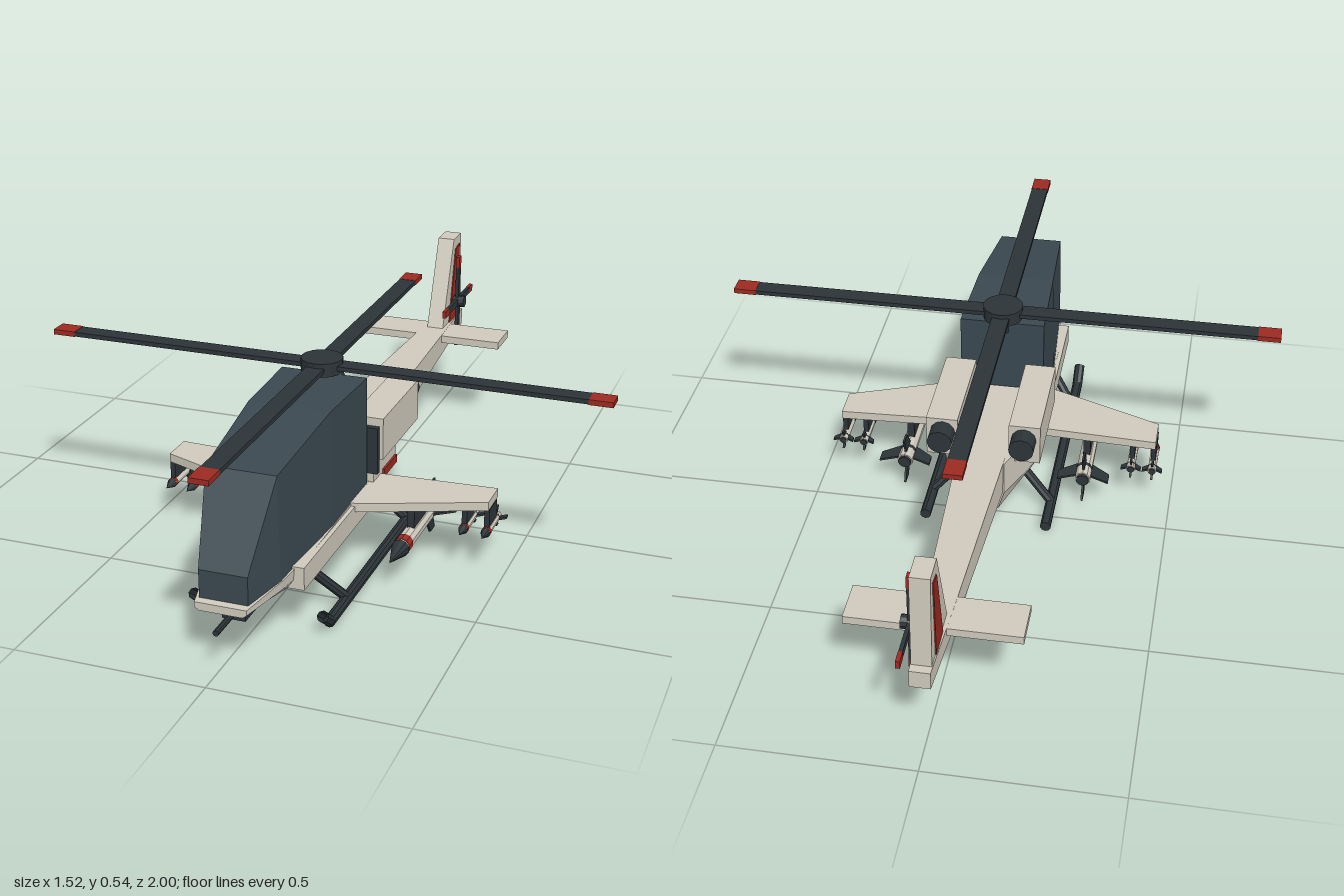
import * as THREE from 'three';

const mat = (color) => new THREE.MeshStandardMaterial({ color, flatShading: true, side: THREE.DoubleSide });

export function createModel() {
  const root = new THREE.Group();
  const cream = mat(0xcfcabc), glass = mat(0x3a4850), dark = mat(0x2c3438), red = mat(0x9c2a22);

  const add = (name, geo, material, x = 0, y = 0, z = 0, parent = root) => {
    const m = new THREE.Mesh(geo, material);
    m.name = name;
    m.position.set(x, y, z);
    parent.add(m);
    return m;
  };
  const group = (name, x = 0, y = 0, z = 0, parent = root) => {
    const g = new THREE.Group();
    g.name = name;
    g.position.set(x, y, z);
    parent.add(g);
    return g;
  };
  const box = (w, h, d) => new THREE.BoxGeometry(w, h, d);
  // cylinder along z, r1 is the front radius
  const rodZ = (r1, r2, len, n = 10) => new THREE.CylinderGeometry(r1, r2, len, n).rotateX(Math.PI / 2);
  const rod = (a, b, r, n = 8) => new THREE.TubeGeometry(
    new THREE.LineCurve3(new THREE.Vector3(...a), new THREE.Vector3(...b)), 1, r, n);

  // mirrored cross-sections, front to back: [z, halfWidth, y, halfWidth, y, ...] from bottom to top
  const loft = (sections) => {
    const rings = sections.map(([z, ...p]) => {
      const half = [];
      for (let i = 0; i < p.length; i += 2) half.push([p[i], p[i + 1], z]);
      return [...half, ...half.slice().reverse().map(([x, y]) => [-x, y, z])];
    });
    const out = [], n = rings[0].length;
    const tri = (...v) => v.forEach((q) => out.push(...q));
    for (let s = 0; s < rings.length - 1; s++) {
      const f = rings[s], b = rings[s + 1];
      for (let i = 0; i < n; i++) {
        const j = (i + 1) % n;
        tri(f[i], b[i], f[j]);
        tri(f[j], b[i], b[j]);
      }
    }
    const f = rings[0], b = rings[rings.length - 1];
    for (let i = 1; i < n - 1; i++) {
      tri(f[0], f[i], f[i + 1]);
      tri(b[0], b[i + 1], b[i]);
    }
    const g = new THREE.BufferGeometry();
    g.setAttribute('position', new THREE.Float32BufferAttribute(out, 3));
    g.computeVertexNormals();
    return g;
  };

  const extrude = (pts, t) => new THREE.ExtrudeGeometry(
    new THREE.Shape(pts.map((p) => new THREE.Vector2(...p))), { depth: t, bevelEnabled: false }).translate(0, 0, -t / 2);
  // plate standing in the z-y plane, and plate lying in the x-z plane
  const uprightPlate = (pts, t) => extrude(pts.map(([z, y]) => [-z, y]), t).rotateY(Math.PI / 2);
  const flatPlate = (pts, t) => extrude(pts, t).rotateX(Math.PI / 2);

  // fuselage
  add('noseHull', loft([
    [0.905, 0.055, 0.147, 0.066, 0.155, 0.066, 0.168],
    [0.765, 0.06, 0.122, 0.095, 0.155, 0.098, 0.18],
    [0.595, 0.075, 0.093, 0.115, 0.15, 0.118, 0.19],
    [0.2, 0.08, 0.093, 0.12, 0.16, 0.12, 0.2],
  ]), cream);
  add('midHull', loft([
    [0.21, 0.08, 0.093, 0.132, 0.18, 0.132, 0.29],
    [0.03, 0.08, 0.093, 0.132, 0.18, 0.132, 0.29],
    [-0.15, 0.05, 0.137, 0.066, 0.19, 0.066, 0.288],
  ]), cream);
  add('canopy', loft([
    [0.885, 0.062, 0.165, 0.062, 0.243],
    [0.765, 0.095, 0.175, 0.09, 0.452],
    [0.465, 0.117, 0.185, 0.108, 0.495],
    [0.22, 0.118, 0.195, 0.117, 0.495],
  ]), glass);

  // tail
  add('tailBoom', loft([
    [-0.08, 0.066, 0.19, 0.066, 0.289],
    [-0.69, 0.04, 0.222, 0.04, 0.287],
    [-0.955, 0.026, 0.236, 0.026, 0.285],
  ]), cream);
  add('tailFin', uprightPlate([[-0.745, 0.28], [-0.85, 0.545], [-0.925, 0.545], [-0.932, 0.28]], 0.05), cream);
  add('rudderPanel', uprightPlate([[-0.81, 0.286], [-0.865, 0.51], [-0.905, 0.518], [-0.892, 0.286]], 0.056), red);
  add('stabilizer', box(0.44, 0.022, 0.115), cream, 0, 0.275, -0.743);

  // main rotor
  const rotor = group('mainRotor', 0, 0.525, 0.235);
  add('rotorMast', new THREE.CylinderGeometry(0.024, 0.024, 0.06, 12), dark, 0, -0.03, 0, rotor);
  add('rotorHub', new THREE.CylinderGeometry(0.055, 0.055, 0.036, 16), dark, 0, 0, 0, rotor);
  for (let i = 0; i < 4; i++) {
    const blade = group('rotorBlade', 0, 0, 0, rotor);
    blade.rotation.y = i * Math.PI / 2;
    add('bladeArm', box(0.7, 0.012, 0.048), dark, 0.35, 0, 0, blade);
    add('bladeTip', box(0.062, 0.014, 0.05), red, 0.731, 0, 0, blade);
  }

  // tail rotor
  const tailRotor = group('tailRotor', 0.04, 0.345, -0.855);
  add('tailRotorHub', new THREE.CylinderGeometry(0.018, 0.018, 0.045, 10).rotateZ(Math.PI / 2), dark, 0, 0, 0, tailRotor);
  for (let i = 0; i < 4; i++) {
    const blade = group('tailRotorBlade', 0, 0, 0, tailRotor);
    blade.rotation.x = i * Math.PI / 2;
    add('tailBladeArm', box(0.01, 0.11, 0.02), dark, 0, 0.055, 0, blade);
    add('tailBladeTip', box(0.011, 0.035, 0.021), red, 0, 0.1275, 0, blade);
  }

  // chin gun
  const gun = group('chinGun', 0, 0.11, 0);
  add('gunMount', box(0.06, 0.034, 0.066), dark, 0, 0, 0.798, gun);
  add('gunBarrel', rodZ(0.008, 0.008, 0.11, 8), dark, 0, 0.002, 0.88, gun);

  // finned missile along z, nose forward
  const missile = (name, x, y, z, len, r, span, parent) => {
    const g = group(name, x, y, z, parent);
    const nose = len * 0.24, body = len - nose;
    add('missileBody', rodZ(r, r, body), cream, 0, 0, -nose / 2, g);
    add('missileNose', rodZ(0, r * 1.1, nose), dark, 0, 0, len / 2 - nose / 2, g);
    add('missileBand', rodZ(r * 1.06, r * 1.06, len * 0.08), red, 0, 0, len / 2 - nose - len * 0.06, g);
    add('missileTail', rodZ(r * 1.05, r * 0.8, len * 0.16), dark, 0, 0, -len * 0.44, g);
    const e = -len / 2;
    const fin = [[e + len * 0.2, r * 0.6], [e + len * 0.08, span], [e - len * 0.02, span], [e + len * 0.05, r * 0.6]];
    for (let i = 0; i < 4; i++) {
      add('missileFin', uprightPlate(fin, 0.006), dark, 0, 0, 0, g).rotation.z = i * Math.PI / 2;
    }
  };

  // paired side parts
  for (const s of [1, -1]) {
    const side = group(s > 0 ? 'leftSide' : 'rightSide');
    add('sideFairing', box(0.05, 0.06, 0.5), cream, s * 0.105, 0.16, 0.455, side);
    add('sideStripe', box(0.012, 0.022, 0.105), red, s * 0.132, 0.195, 0.085, side);

    // engine with intake and exhaust
    add('engineHousing', box(0.085, 0.115, 0.295), cream, s * 0.112, 0.32, 0.052, side);
    add('engineIntake', box(0.045, 0.13, 0.016), dark, s * 0.122, 0.29, 0.207, side);
    add('engineExhaust', rodZ(0.034, 0.034, 0.08, 12), dark, s * 0.11, 0.335, -0.105, side);

    // stub wing and stores
    add('stubWing', flatPlate([[s * 0.1, 0.152], [s * 0.45, 0.135], [s * 0.45, 0.225], [s * 0.14, 0.345], [s * 0.1, 0.35]], 0.024),
      cream, 0, 0.187, 0, side);
    add('rocketPylon', box(0.02, 0.065, 0.11), dark, s * 0.255, 0.145, 0.215, side);
    missile('largeRocket', s * 0.255, 0.095, 0.255, 0.37, 0.022, 0.072, side);
    for (const x of [0.385, 0.445]) {
      add('missilePylon', box(0.014, 0.05, 0.07), dark, s * x, 0.15, 0.185, side);
      missile('smallMissile', s * x, 0.113, 0.19, 0.15, 0.012, 0.028, side);
    }

    // landing skid
    add('skidRail', rodZ(0.015, 0.015, 0.71), dark, s * 0.17, 0.02, 0.29, side);
    add('skidToe', rod([s * 0.17, 0.018, 0.635], [s * 0.17, 0.058, 0.688], 0.015), dark, 0, 0, 0, side);
    add('frontStrut', rod([s * 0.085, 0.13, 0.585], [s * 0.17, 0.025, 0.52], 0.013), dark, 0, 0, 0, side);
    add('rearStrut', rod([s * 0.08, 0.12, 0.075], [s * 0.17, 0.025, 0.045], 0.013), dark, 0, 0, 0, side);
  }
  return root;
}
